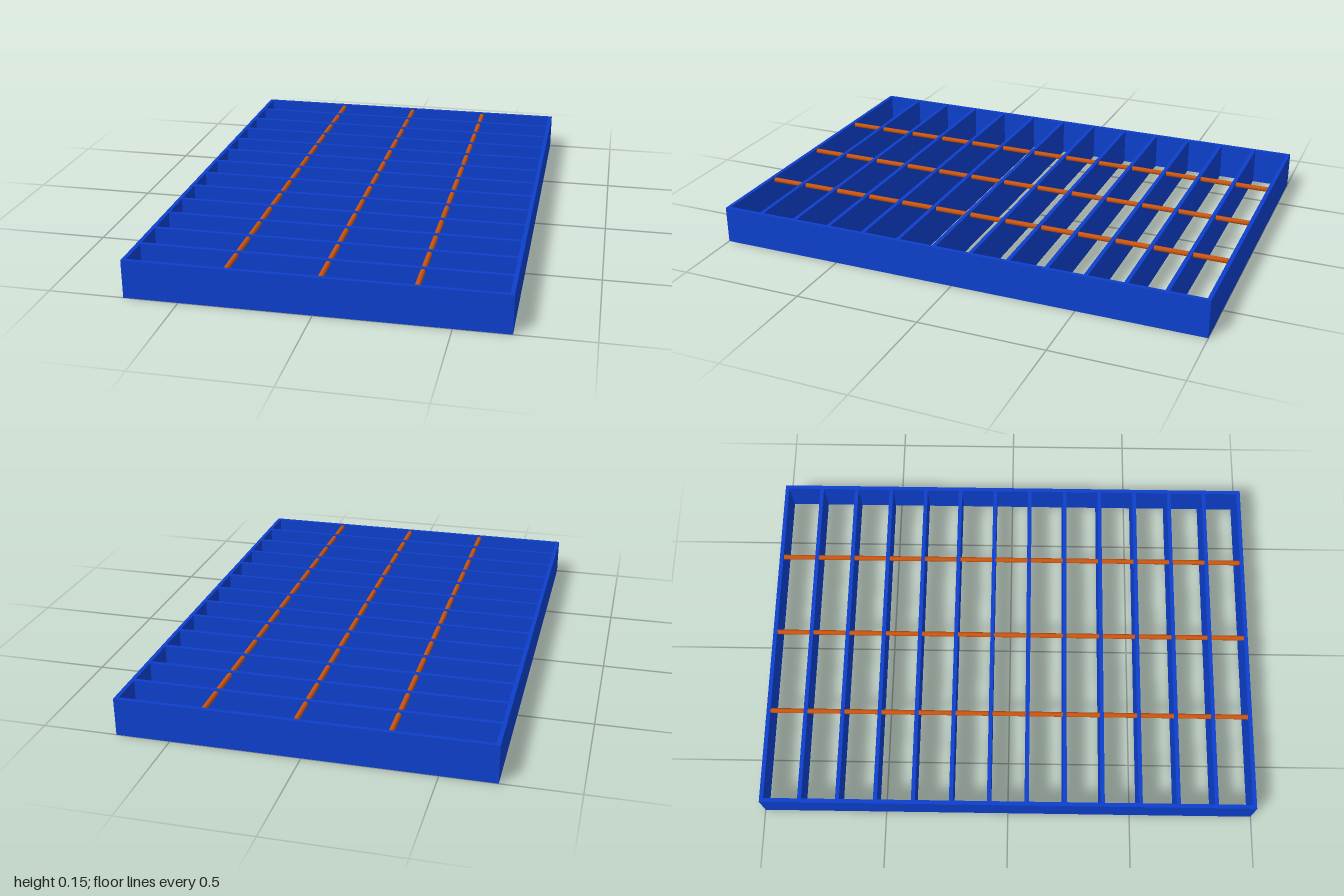
import * as THREE from 'three';

const WIDTH = 1.42, LENGTH = 2, HEIGHT = 0.15, PLATE = 0.016;
const BAR_COUNT = 14, ROD_RADIUS = 0.01;

export function createModel() {
  const group = new THREE.Group();
  group.name = 'grating';
  const blue = new THREE.MeshStandardMaterial({ color: 0x0d3fcc });
  const orange = new THREE.MeshStandardMaterial({ color: 0xc8540f });

  const add = (name, geometry, material, x, y, z) => {
    const mesh = new THREE.Mesh(geometry, material);
    mesh.name = name;
    mesh.position.set(x, y, z);
    group.add(mesh);
    return mesh;
  };

  // Long side plates
  const side = new THREE.BoxGeometry(PLATE, HEIGHT, LENGTH);
  for (const s of [-1, 1]) add('sidePlate', side, blue, s * (WIDTH - PLATE) / 2, HEIGHT / 2, 0);

  // Evenly spaced upright bars; the first and last close the frame
  const bar = new THREE.BoxGeometry(WIDTH - 2 * PLATE, HEIGHT, PLATE);
  for (let i = 0; i < BAR_COUNT; i++) {
    const z = (LENGTH - PLATE) * (i / (BAR_COUNT - 1) - 0.5);
    const isEnd = i === 0 || i === BAR_COUNT - 1;
    add(isEnd ? 'endPlate' : 'bearingBar', bar, blue, 0, HEIGHT / 2, z);
  }

  // Cross rods passing through the bars just below their top edges
  const rod = new THREE.CylinderGeometry(ROD_RADIUS, ROD_RADIUS, LENGTH - PLATE, 16).rotateX(Math.PI / 2);
  for (const x of [-0.323, 0.024, 0.37]) add('crossRod', rod, orange, x, HEIGHT - ROD_RADIUS - 0.003, 0);

  return group;
}
